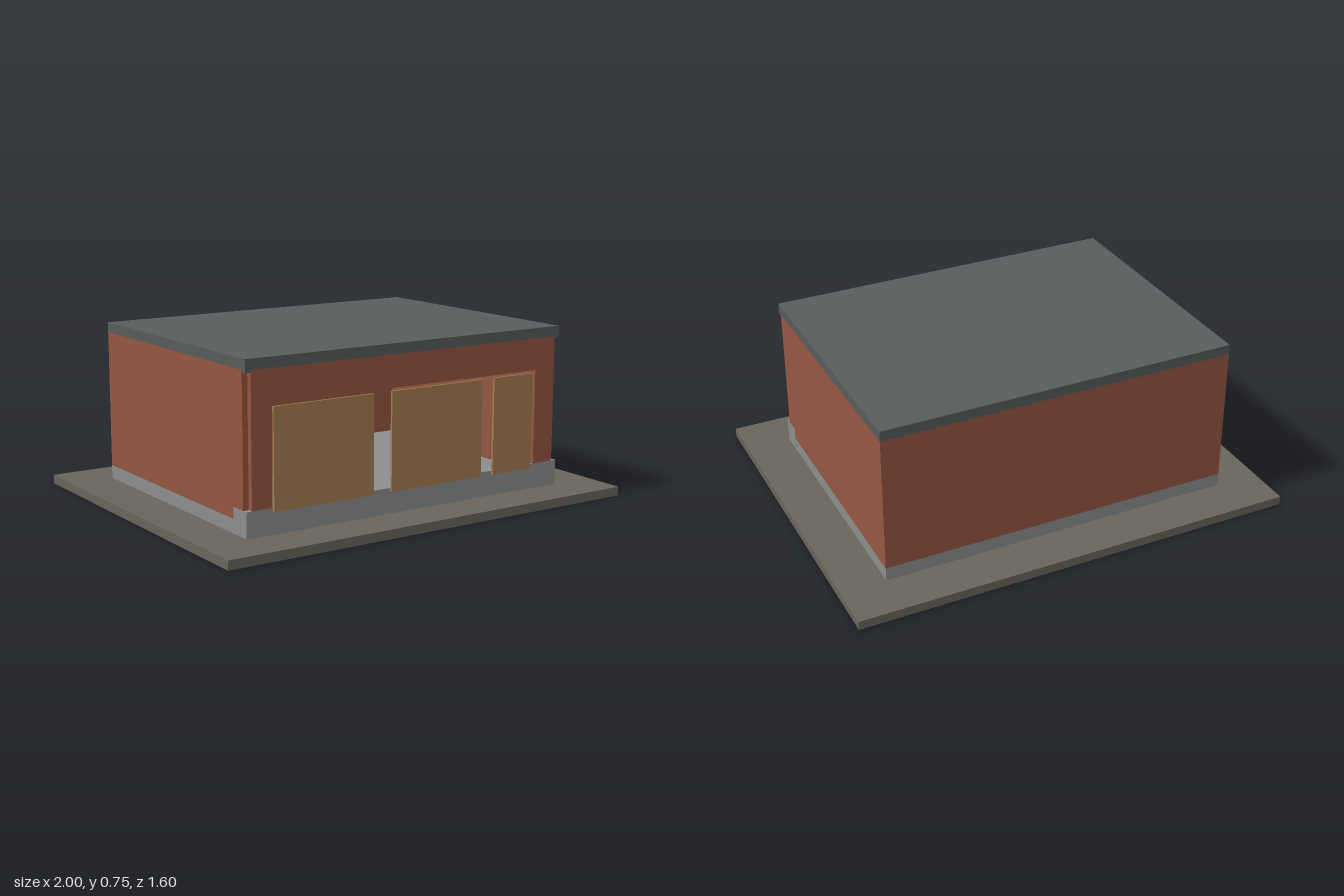
import * as THREE from 'three';

const mat = (color) => new THREE.MeshStandardMaterial({ color, flatShading: true });

export function createModel() {
  const model = new THREE.Group();
  model.name = 'building';

  const paving = mat(0x69655d);
  const concrete = mat(0x8b8f8c);
  const brick = mat(0x955742);
  const roofing = mat(0x575c5d);
  const timber = mat(0xa67e50);

  // Box given by its lower and upper corners
  function block(name, material, [x0, y0, z0], [x1, y1, z1]) {
    const mesh = new THREE.Mesh(new THREE.BoxGeometry(x1 - x0, y1 - y0, z1 - z0), material);
    mesh.position.set((x0 + x1) / 2, (y0 + y1) / 2, (z0 + z1) / 2);
    mesh.name = name;
    model.add(mesh);
    return mesh;
  }

  // Ground slab, floor and raised front sill
  block('paving', paving, [-1, 0, -0.8], [1, 0.04, 0.8]);
  block('floor', concrete, [-0.8, 0.04, -0.6], [0.8, 0.1, 0.6]);
  block('frontSill', concrete, [-0.801, 0.04, 0.5], [0.801, 0.15, 0.601]);

  // Back wall, and side walls stopping short of the front corners
  block('backWall', brick, [-0.7, 0.1, -0.6], [0.7, 0.71, -0.5]);
  for (const [name, s] of [['leftWall', 1], ['rightWall', -1]]) {
    block(name, brick, [s * 0.75 - 0.05, 0.1, -0.6], [s * 0.75 + 0.05, 0.71, 0.575]);
  }

  // Front wall with one wide opening, open down to the sill
  const wall = new THREE.Shape();
  [[-0.775, 0.15], [-0.68, 0.15], [-0.68, 0.57], [0.67, 0.57], [0.67, 0.15],
    [0.775, 0.15], [0.775, 0.71], [-0.775, 0.71]]
    .forEach(([x, y], i) => (i ? wall.lineTo(x, y) : wall.moveTo(x, y)));
  const frontWall = new THREE.Mesh(
    new THREE.ExtrudeGeometry(wall, { depth: 0.1, bevelEnabled: false }), brick);
  frontWall.position.z = 0.5;
  frontWall.name = 'frontWall';
  model.add(frontWall);

  // Flat roof: cap above the walls, with a lower lip between them
  block('roofLip', roofing, [-0.798, 0.7, -0.598], [0.798, 0.712, 0.598]);
  block('roof', roofing, [-0.8, 0.71, -0.6], [0.8, 0.755, 0.6]);

  // Sliding timber panels hung in front of the opening
  for (const [x0, x1] of [[-0.68, -0.2], [-0.11, 0.365], [0.43, 0.645]]) {
    block('slidingPanel', timber, [x0, 0.135, 0.602], [x1, 0.56, 0.612]);
  }

  return model;
}
